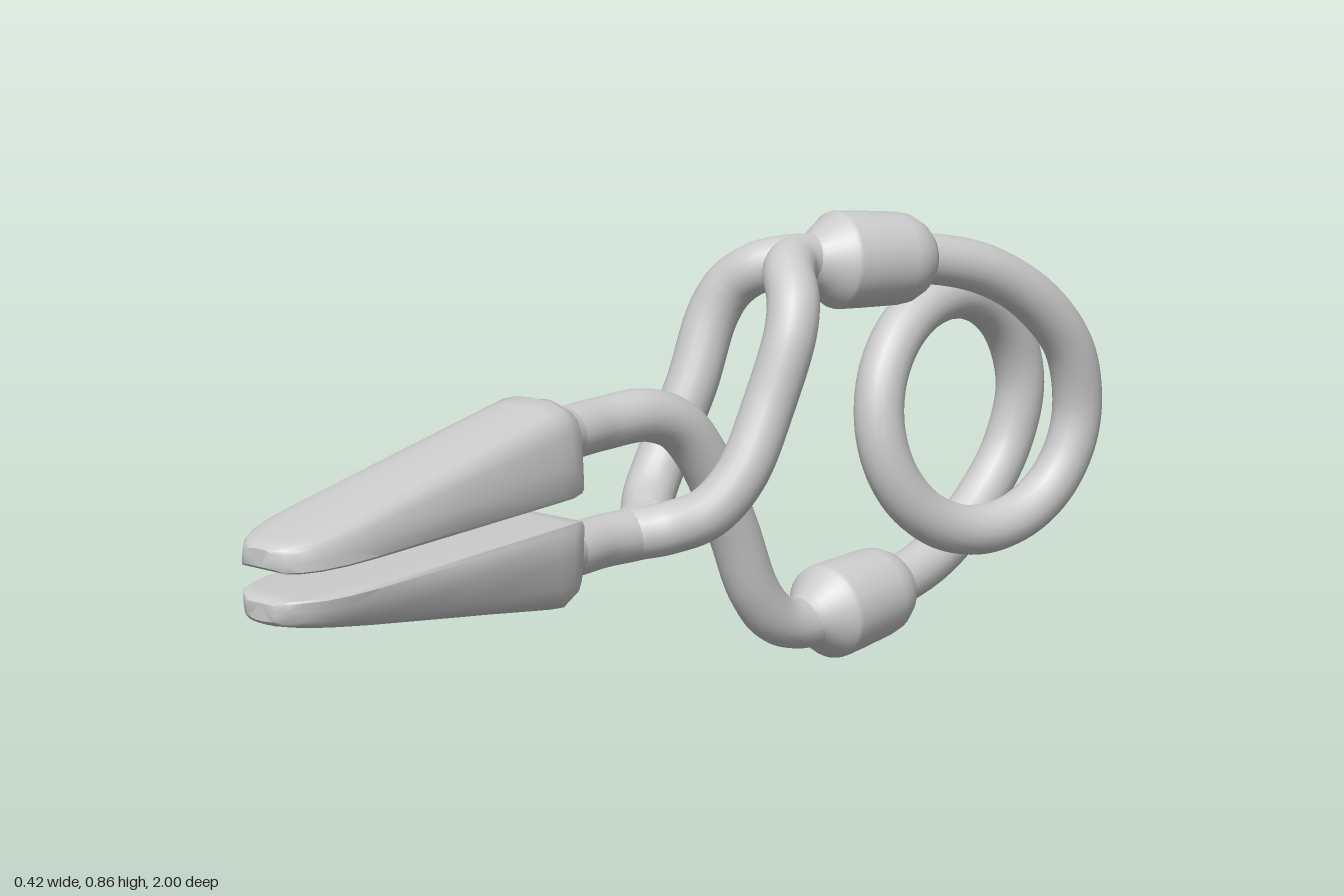
import * as THREE from 'three';
import { toCreasedNormals } from 'three/addons/utils/BufferGeometryUtils.js';

const material = new THREE.MeshStandardMaterial({ color: 0xcccccc });
const MID_X = -0.0625; // centre line of the arms
const MID_Y = 0.4325; // the jaws meet here
const WIRE = 0.048;
const v = (x, y, z) => new THREE.Vector3(x, y, z);

function add(group, name, geometry) {
  const mesh = new THREE.Mesh(geometry, material);
  mesh.name = name;
  group.add(mesh);
  return mesh;
}

// Round wire through a few points
function wire(points, segments) {
  const curve = new THREE.CatmullRomCurve3(points.map((p) => v(...p)));
  return new THREE.TubeGeometry(curve, segments, WIRE, 20);
}

// Turned part: profile of [radius, distance] along the line from one point to another
function turned(profile, from, to) {
  const geometry = new THREE.LatheGeometry(profile.map(([r, d]) => new THREE.Vector2(r, d)), 32);
  const dir = v(...to).sub(v(...from)).normalize();
  geometry.applyQuaternion(new THREE.Quaternion().setFromUnitVectors(v(0, 1, 0), dir));
  return geometry.translate(...from);
}

// Jaw lofted from rear to tip; side is 1 for the upper one, -1 for the lower one
function jaw(side) {
  // distance, half width, bottom, top (heights measured from the gap's middle)
  const stations = [
    [-0.02, 0.045, 0.06, 0.135], [-0.012, 0.075, 0.035, 0.16], [0.005, 0.09, 0.025, 0.176],
    [0.035, 0.096, 0.0225, 0.188], [0.07, 0.097, 0.0225, 0.182], [0.3, 0.098, 0.0225, 0.142],
    [0.53, 0.098, 0.0225, 0.101], [0.6, 0.094, 0.0225, 0.088], [0.65, 0.083, 0.0225, 0.079],
    [0.68, 0.068, 0.0225, 0.073], [0.7, 0.05, 0.0235, 0.068], [0.71, 0.033, 0.03, 0.06],
  ];
  // half of the cross-section: fraction of the width and of the height
  const half = [[0.5, 0], [0.95, 0], [1, 0.06], [0.98, 0.35], [0.93, 0.7], [0.85, 0.84], [0.7, 0.93], [0.4, 0.985]];
  const section = [[0, 0], ...half, [0, 1], ...half.map(([x, y]) => [-x, y]).reverse()];
  const n = section.length;
  const positions = [];
  const index = [];
  const face = (a, b, c) => index.push(...(side > 0 ? [a, b, c] : [a, c, b]));
  stations.forEach(([d, w, y0, y1], i) => {
    for (const [fx, fy] of section) positions.push(fx * w, side * (y0 + (y1 - y0) * fy), d);
    if (i === 0) return;
    for (let j = 0; j < n; j++) {
      const a = (i - 1) * n + j;
      const b = (i - 1) * n + ((j + 1) % n);
      face(a, b, b + n);
      face(a, b + n, a + n);
    }
  });
  // end caps
  const last = (stations.length - 1) * n;
  for (let j = 1; j < n - 1; j++) {
    face(0, j + 1, j);
    face(last, last + j, last + j + 1);
  }
  const geometry = new THREE.BufferGeometry();
  geometry.setAttribute('position', new THREE.Float32BufferAttribute(positions, 3));
  geometry.setIndex(index);
  geometry.rotateY(0.225).translate(-0.025, MID_Y, 0.3);
  return toCreasedNormals(geometry, 0.7);
}

export function createModel() {
  const model = new THREE.Group();
  model.name = 'springClamp';
  const mirrorY = (y, side) => MID_Y + side * (y - MID_Y);

  // Jaws, necks and collars, upper and lower
  for (const side of [1, -1]) {
    const label = side > 0 ? 'upper' : 'lower';
    add(model, label + 'Jaw', jaw(side));

    const neck = [[0.046, 0], [0.05, 0.025], [0.058, 0.045], [0.072, 0.06], [0.072, 0.075]];
    add(model, label + 'JawNeck', turned(neck,
      [-0.043, mirrorY(0.54, side), 0.233], [-0.025, mirrorY(0.537, side), 0.31]));

    const collar = [[0.045, -0.01], [0.052, 0.01], [0.07, 0.03], [0.08, 0.045], [0.089, 0.055], [0.091, 0.065],
      [0.09, 0.11], [0.087, 0.19], [0.083, 0.215], [0.07, 0.24], [0.056, 0.255], [0.045, 0.26]];
    add(model, label + 'Collar', turned(collar,
      [MID_X, mirrorY(0.775, side), -0.33], [MID_X + side * 0.033, mirrorY(0.755, side), -0.59]));
  }

  // Single arm: upper jaw down through the loop to the lower collar
  add(model, 'singleArm', wire([
    [-0.03, 0.54, 0.32], [-0.043, 0.54, 0.23], [-0.06, 0.54, 0.15], [MID_X, 0.54, 0.05],
    [MID_X, 0.51, -0.025], [MID_X, 0.43, -0.09], [MID_X, 0.3, -0.152], [MID_X, 0.17, -0.205],
    [MID_X, 0.11, -0.255], [MID_X, 0.087, -0.32], [MID_X, 0.095, -0.4],
  ], 90));

  // Looped arm: lower jaw stem, then two rails that join again at the upper collar
  add(model, 'loopStem', wire([
    [-0.03, 0.325, 0.32], [-0.043, 0.325, 0.23], [-0.06, 0.325, 0.15], [MID_X, 0.325, 0.06], [MID_X, 0.332, 0.02],
  ], 30));
  for (const s of [1, -1]) {
    const rail = [
      [0, 0.325, 0.08], [0.035, 0.335, 0.025], [0.085, 0.365, -0.025], [0.11, 0.43, -0.08], [0.11, 0.55, -0.145],
      [0.11, 0.675, -0.195], [0.088, 0.73, -0.22], [0.04, 0.768, -0.25], [0.005, 0.779, -0.295], [0, 0.773, -0.37],
    ];
    add(model, s > 0 ? 'leftLoopRail' : 'rightLoopRail', wire(rail.map(([x, y, z]) => [MID_X + s * x, y, z]), 80));
  }

  // Coil spring: upper collar, back and round one full turn, then to the lower collar
  const lead = [[0.025, 0.758, -0.5], [0.038, 0.752, -0.6], [0.06, 0.72, -0.72], [0.078, 0.653, -0.83], [0.085, 0.55, -0.92]];
  const coil = [];
  for (let i = 0; i <= 16; i++) {
    const a = (i / 16) * Math.PI * 2;
    coil.push([MID_X + 0.08 * Math.cos(a / 2), MID_Y - 0.22 * Math.sin(a), -0.732 - 0.22 * Math.cos(a)]);
  }
  add(model, 'coilSpring', wire([
    ...lead.map(([x, y, z]) => [MID_X + x, y, z]),
    ...coil,
    ...lead.map(([x, y, z]) => [MID_X - x, mirrorY(y, -1), z]).reverse(),
  ], 200));

  return model;
}
